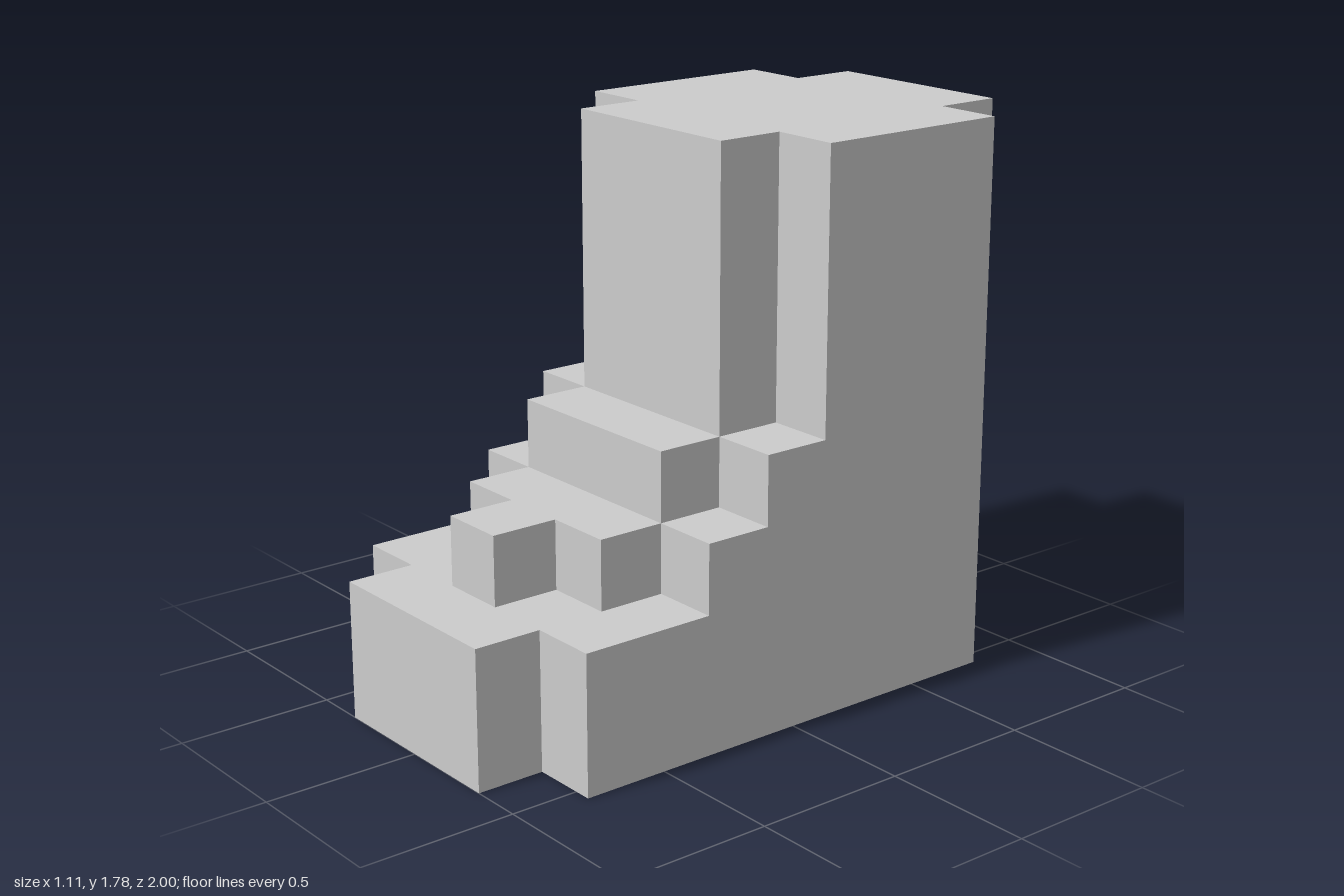
import * as THREE from 'three';

const U = 2 / 9; // one block

// Stepped slab: rows of [half width, front z] from widest to narrowest, in blocks
function slab(name, bottom, top, rows, material) {
  const right = [];
  // notched back corner
  right.push([1.5, -4.5], [1.5, -3.5], [2.5, -3.5]);
  // stepped front corner
  rows.forEach(([w, z], i) => {
    right.push([w, z]);
    if (i < rows.length - 1) right.push([rows[i + 1][0], z]);
  });
  const left = right.map(([x, z]) => [-x, z]).reverse();
  const outline = [...right, ...left].map(([x, z]) => new THREE.Vector2(x * U, -z * U));
  const geometry = new THREE.ExtrudeGeometry(new THREE.Shape(outline), {
    depth: (top - bottom) * U,
    bevelEnabled: false,
  });
  geometry.rotateX(-Math.PI / 2);
  geometry.translate(0, bottom * U, 0);
  const mesh = new THREE.Mesh(geometry, material);
  mesh.name = name;
  return mesh;
}

export function createModel() {
  const group = new THREE.Group();
  group.name = 'steppedBlock';
  const grey = new THREE.MeshStandardMaterial({ color: 0xcccccc, flatShading: true });

  group.add(
    slab('base', 0, 2, [[2.5, 3.5], [1.5, 4.5]], grey),
    // lower step carries a one-block nub at its front
    slab('lowerStep', 2, 3, [[2.5, 1.5], [1.5, 2.5], [0.5, 3.5]], grey),
    slab('upperStep', 3, 4, [[2.5, 0.5], [1.5, 1.5]], grey),
    slab('tower', 4, 8, [[2.5, -0.5], [1.5, 0.5]], grey),
  );
  return group;
}
